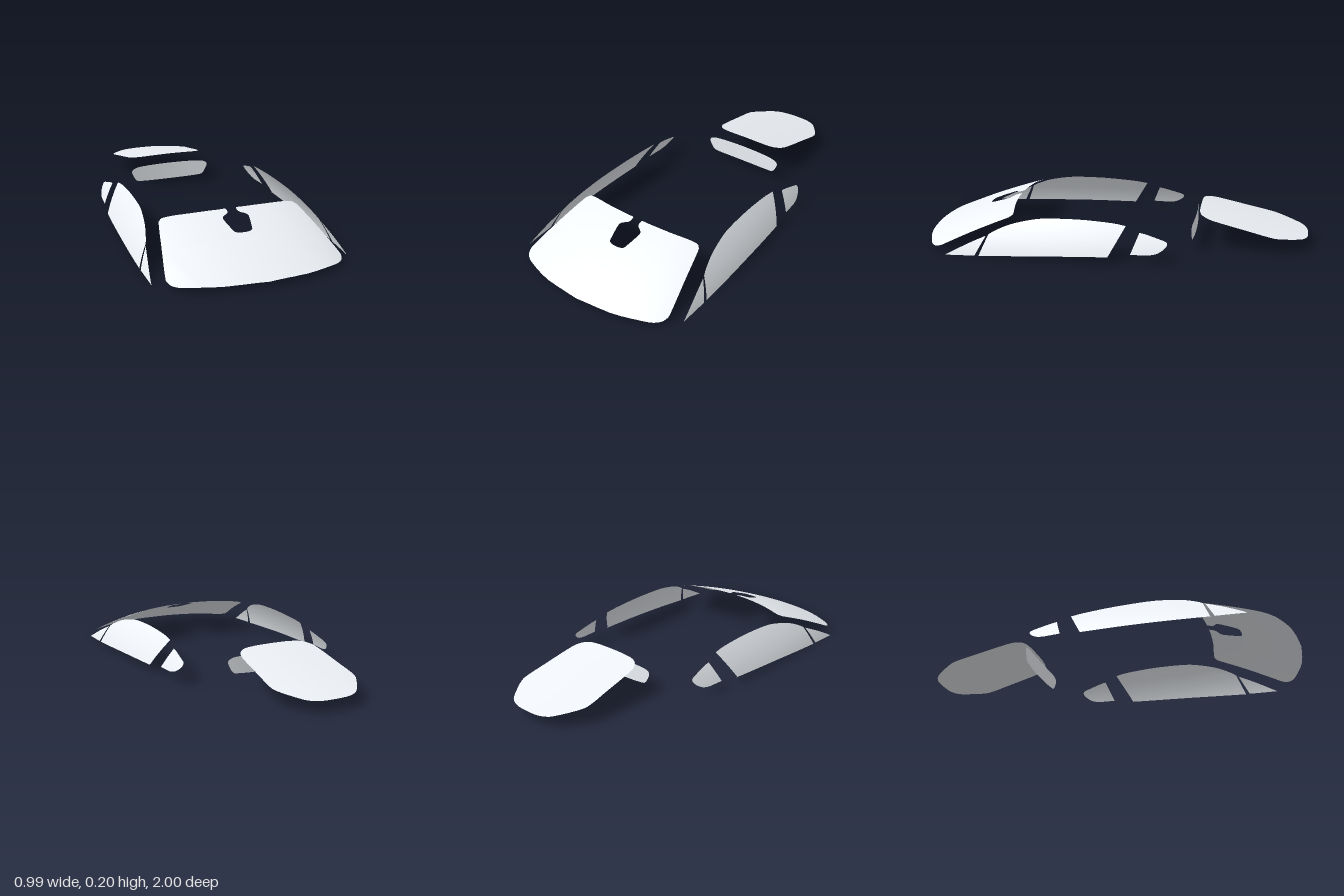
import * as THREE from 'three';
import { mergeVertices } from 'three/addons/utils/BufferGeometryUtils.js';

const glass = new THREE.MeshStandardMaterial({ color: 0xeef2f7, side: THREE.DoubleSide });

// Flat outline from smooth runs of points; runs meet at sharp corners.
function outline(runs) {
  const shape = new THREE.Shape();
  shape.moveTo(...runs[0][0]);
  for (const run of runs) {
    const pts = run.slice(1).map(([a, b]) => new THREE.Vector2(a, b));
    if (pts.length === 1) shape.lineTo(pts[0].x, pts[0].y);
    else shape.splineThru(pts);
  }
  return shape;
}

// Closed symmetric run from its x >= 0 half, which starts and ends on x = 0.
function symmetric(half) {
  return [[...half, ...half.slice(0, -1).reverse().map(([x, b]) => [-x, b])]];
}

// Curved sheet: triangulate the outline, split each triangle, then bend by a rule.
function pane(name, runs, bend, flip) {
  const flat = new THREE.ShapeGeometry(outline(runs), 3).toNonIndexed();
  const p = flat.attributes.position;
  let tris = [];
  for (let i = 0; i < p.count; i += 3) {
    tris.push([0, 1, 2].map((k) => new THREE.Vector2(p.getX(i + k), p.getY(i + k))));
  }
  const mid = (a, b) => a.clone().add(b).multiplyScalar(0.5);
  for (let level = 0; level < 3; level++) {
    tris = tris.flatMap(([a, b, c]) => {
      const ab = mid(a, b), bc = mid(b, c), ca = mid(c, a);
      return [[a, ab, ca], [ab, b, bc], [ca, bc, c], [ab, bc, ca]];
    });
  }
  const pos = [];
  for (const [a, b, c] of tris) {
    for (const q of flip ? [a, c, b] : [a, b, c]) pos.push(...bend(q.x, q.y));
  }
  const raw = new THREE.BufferGeometry();
  raw.setAttribute('position', new THREE.Float32BufferAttribute(pos, 3));
  const geo = mergeVertices(raw, 1e-5);
  geo.computeVertexNormals();
  const mesh = new THREE.Mesh(geo, glass);
  mesh.name = name;
  return mesh;
}

export function createModel() {
  const model = new THREE.Group();
  model.name = 'carWindows';

  // Windshield with the mirror notch, outline in (x, z)
  const windshield = symmetric([
    [0, 1], [0.2, 0.98], [0.35, 0.932], [0.41, 0.897], [0.432, 0.86], [0.43, 0.82],
    [0.397, 0.67], [0.365, 0.53], [0.352, 0.503], [0.325, 0.494], [0.2, 0.516], [0.08, 0.527],
    [0.033, 0.528], [0.026, 0.534], [0.026, 0.553], [0.035, 0.566], [0.06, 0.583],
    [0.065, 0.605], [0.05, 0.675], [0.042, 0.694], [0.02, 0.702], [0, 0.703],
  ]);
  model.add(pane('windshield', windshield, (x, z) => {
    const u = z - 0.527;
    return [x, 0.203 - 0.303 * u - 0.16 * u * u - 0.22 * x * x - 0.5 * x ** 4, z];
  }, true));

  // Sloping rear deck panel, outline in (x, z)
  const deck = symmetric([
    [0, -1], [0.06, -0.997], [0.11, -0.982], [0.15, -0.95], [0.215, -0.855], [0.228, -0.8],
    [0.223, -0.7], [0.215, -0.55], [0.203, -0.49], [0.165, -0.452], [0.1, -0.441], [0, -0.44],
  ]);
  model.add(pane('rearDeckPanel', deck,
    (x, z) => [x, 0.184 + 0.228 * (z + 0.44) - 0.15 * x * x, z], true));

  // Upright rear window below the deck panel, outline in (x, y)
  const rear = symmetric([
    [0, 0.136], [0.1, 0.135], [0.18, 0.131], [0.215, 0.122], [0.227, 0.105], [0.215, 0.074],
    [0.2, 0.053], [0.18, 0.046], [0.1, 0.042], [0, 0.041],
  ]);
  model.add(pane('rearWindow', rear, (x, y) => [x, y, -0.418 + 0.18 * x * x], true));

  // Side glass, outlines in (z, y)
  const sides = {
    FrontQuarterWindow: [
      [[0.81, 0], [0.655, 0.005]],
      [[0.655, 0.005], [0.604, 0.1]],
      [[0.604, 0.1], [0.7, 0.057], [0.81, 0]],
    ],
    DoorWindow: [
      [[0.634, 0.005], [0.3, 0.021], [0, 0.03], [-0.02, 0.031]],
      [[-0.02, 0.031], [-0.098, 0.17]],
      [[-0.098, 0.17], [-0.02, 0.181], [0.14, 0.19], [0.31, 0.188],
        [0.4, 0.176], [0.49, 0.154], [0.56, 0.125], [0.592, 0.106]],
      [[0.592, 0.106], [0.634, 0.005]],
    ],
    RearQuarterWindow: [
      [[-0.13, 0.045], [-0.168, 0.143]],
      [[-0.168, 0.143], [-0.2, 0.137], [-0.27, 0.117], [-0.3, 0.107], [-0.308, 0.095],
        [-0.295, 0.075], [-0.26, 0.053], [-0.22, 0.045]],
      [[-0.22, 0.045], [-0.13, 0.045]],
    ],
  };
  for (const [name, runs] of Object.entries(sides)) {
    for (const s of [1, -1]) {
      model.add(pane((s > 0 ? 'left' : 'right') + name, runs, (z, y) => {
        const x = 0.498 - 0.34 * y - 1.05 * y * y - 0.06 * (z - 0.45) ** 2;
        return [s * x, y, z];
      }, s > 0));
    }
  }
  return model;
}
